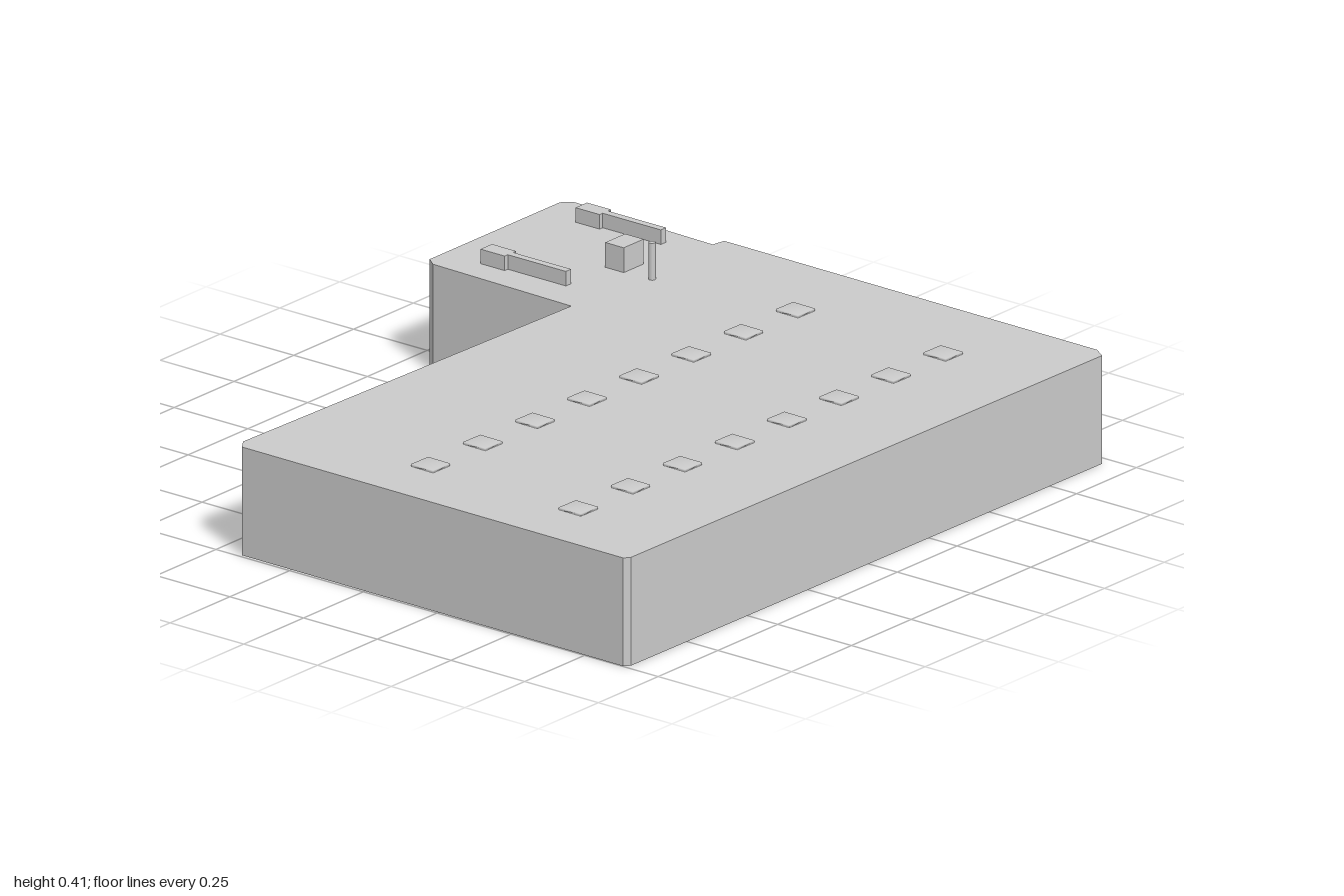
import * as THREE from 'three';
import { mergeVertices } from 'three/addons/utils/BufferGeometryUtils.js';

const ROOF = 0.305;

export function createModel() {
  const group = new THREE.Group();
  const material = new THREE.MeshStandardMaterial({ color: 0xcccccc });

  const add = (name, geometry, x = 0, y = 0, z = 0) => {
    const mesh = new THREE.Mesh(geometry, material);
    mesh.name = name;
    mesh.position.set(x, y, z);
    group.add(mesh);
    return mesh;
  };

  // Box standing on the roof, given by its plan limits and height
  const roofBox = (name, x0, x1, z0, z1, h) =>
    add(name, new THREE.BoxGeometry(x1 - x0, h, z1 - z0), (x0 + x1) / 2, ROOF + h / 2, (z0 + z1) / 2);

  // L-shaped building with clipped corners, plan points as [x, z]
  const plan = [
    [-0.915, -0.95], [-0.89, -0.975], [-0.405, -0.96], [-0.398, -1], [0.875, -0.99], [0.912, -0.965],
    [0.893, 0.982], [0.88, 0.998], [-0.42, 0.99], [-0.443, 0.957],
    [-0.406, -0.37], [-0.885, -0.382], [-0.915, -0.405],
  ];
  const outline = new THREE.Shape(plan.map(([x, z]) => new THREE.Vector2(x, -z)));
  const body = new THREE.ExtrudeGeometry(outline, { depth: ROOF, bevelEnabled: false });
  body.rotateX(-Math.PI / 2);
  add('building', body);

  // Two rows of low skylights with softly shaded edges
  const box = new THREE.BoxGeometry(0.076, 0.008, 0.07);
  box.deleteAttribute('normal');
  box.deleteAttribute('uv');
  const skylight = mergeVertices(box);
  skylight.computeVertexNormals();
  for (const [x, z] of [[0.079, -0.71], [0.584, -0.705]]) {
    for (let i = 0; i < 8; i++) {
      add('skylight', skylight, x - 0.003 * i, ROOF + 0.004, z + 0.2143 * i).rotation.y = -0.02;
    }
  }

  // Roof ventilation units, each with a narrow duct
  for (const z of [-0.885, -0.488]) {
    roofBox('ventilationUnit', -0.79, -0.708, z - 0.024, z + 0.024, 0.041);
    roofBox('ventilationDuct', -0.708, -0.511, z - 0.011, z + 0.011, 0.041);
  }

  // Plant housing and chimney
  roofBox('plantHousing', -0.518, -0.455, -0.733, -0.65, 0.07);
  add('chimney', new THREE.CylinderGeometry(0.01, 0.01, 0.104, 8), -0.367, ROOF + 0.052, -0.66);

  return group;
}
